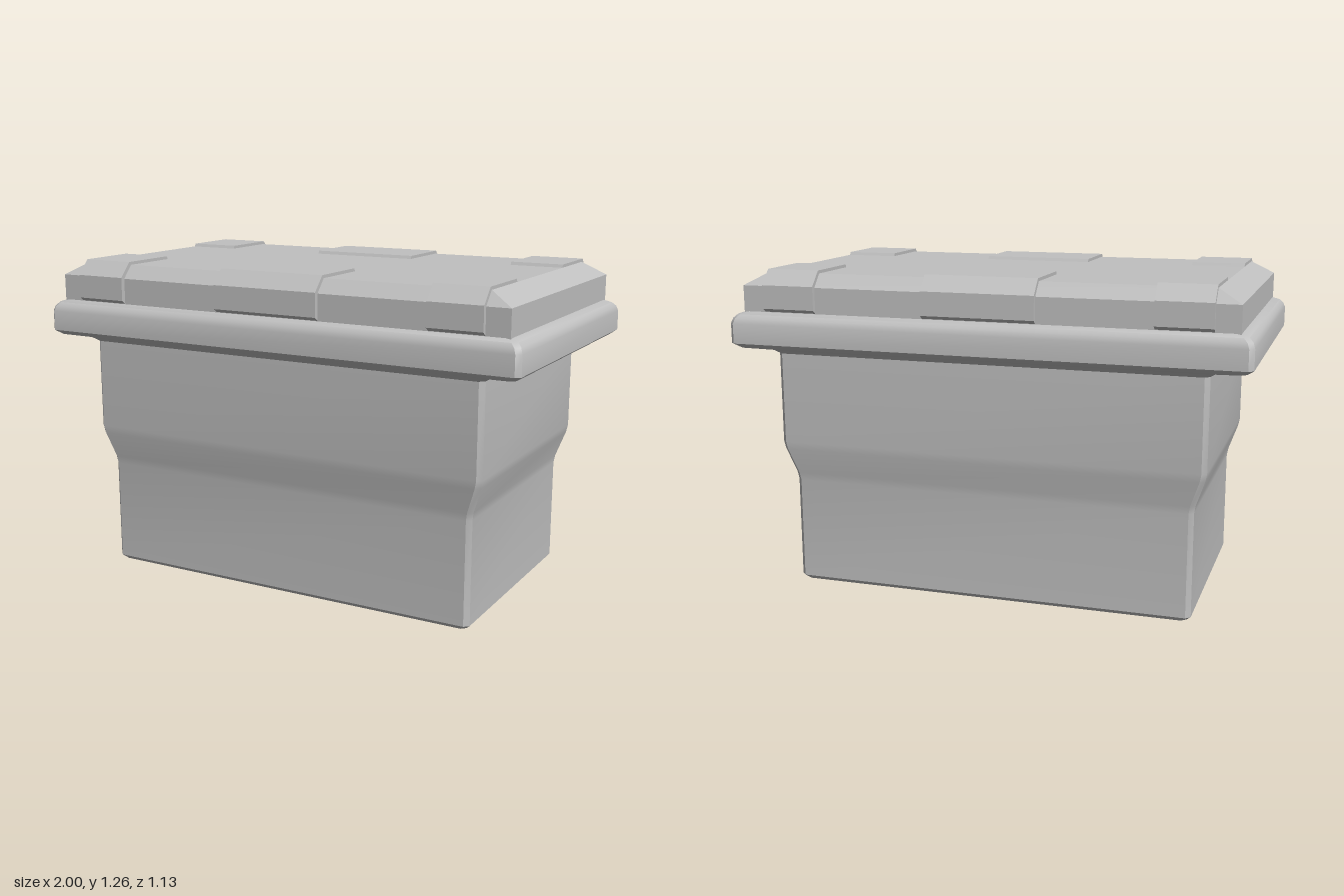
import * as THREE from 'three';
import { toCreasedNormals } from 'three/addons/utils/BufferGeometryUtils.js';

// Closed loft through rectangles [y, halfX, halfZ] with optional cut corners
function loft(rings, cut) {
  const pos = [], idx = [];
  for (const [y, x, z] of rings) {
    const loop = cut
      ? [[x, z - cut], [x, cut - z], [x - cut, -z], [cut - x, -z], [-x, cut - z], [-x, z - cut], [cut - x, z], [x - cut, z]]
      : [[x, z], [x, -z], [-x, -z], [-x, z]];
    for (const [px, pz] of loop) pos.push(px, y, pz);
  }
  const n = cut ? 8 : 4, top = (rings.length - 1) * n;
  for (let i = 0; i < top; i += n) {
    for (let j = 0; j < n; j++) {
      const k = (j + 1) % n;
      idx.push(i + j, i + k, i + n + k, i + j, i + n + k, i + n + j);
    }
  }
  for (let j = 1; j < n - 1; j++) idx.push(0, j + 1, j, top, top + j, top + j + 1);
  const g = new THREE.BufferGeometry();
  g.setAttribute('position', new THREE.Float32BufferAttribute(pos, 3));
  g.setIndex(idx);
  return toCreasedNormals(g, 0.5);
}

export function createModel() {
  const group = new THREE.Group();
  const grey = new THREE.MeshStandardMaterial({ color: 0xc0c0c0 });
  grey.name = 'grey';
  const add = (name, geometry) => {
    const mesh = new THREE.Mesh(geometry, grey);
    mesh.name = name;
    group.add(mesh);
    return mesh;
  };

  // Tub with a narrower lower half
  add('body', loft([
    [0, 0.777, 0.433], [0.018, 0.795, 0.451], [0.42, 0.795, 0.451], [0.45, 0.8, 0.455],
    [0.55, 0.835, 0.476], [0.58, 0.841, 0.479], [0.94, 0.841, 0.479],
  ], 0.018));

  // Overhanging rim with a rounded upper edge
  add('rim', loft([
    [0.93, 0.835, 0.475], [0.95, 0.865, 0.5], [0.96, 0.975, 0.543], [0.978, 1, 0.565],
    [1.055, 1, 0.565], [1.075, 0.993, 0.558], [1.09, 0.978, 0.545], [1.1, 0.95, 0.527], [1.103, 0.93, 0.51],
  ], 0.018));

  // Lid with bevelled top
  add('lid', loft([[1.095, 0.95, 0.525], [1.2, 0.95, 0.525], [1.25, 0.86, 0.48]], 0));

  // Three clips wrapping over the long edges at front and back
  const profile = new THREE.Shape([
    [0.5, 1.102], [0.525, 1.102], [0.543, 1.115], [0.543, 1.205], [0.49, 1.262],
    [0.248, 1.262], [0.24, 1.247], [0.46, 1.24],
  ].map(([z, y]) => new THREE.Vector2(z, y)));
  for (const [x, w] of [[-0.755, 0.21], [0, 0.435], [0.755, 0.21]]) {
    for (const side of ['front', 'back']) {
      const g = new THREE.ExtrudeGeometry(profile, { depth: w, bevelEnabled: false });
      g.translate(0, 0, -w / 2).rotateY(side === 'front' ? -Math.PI / 2 : Math.PI / 2);
      add(side + 'Clip', g).position.x = x;
    }
  }
  return group;
}
